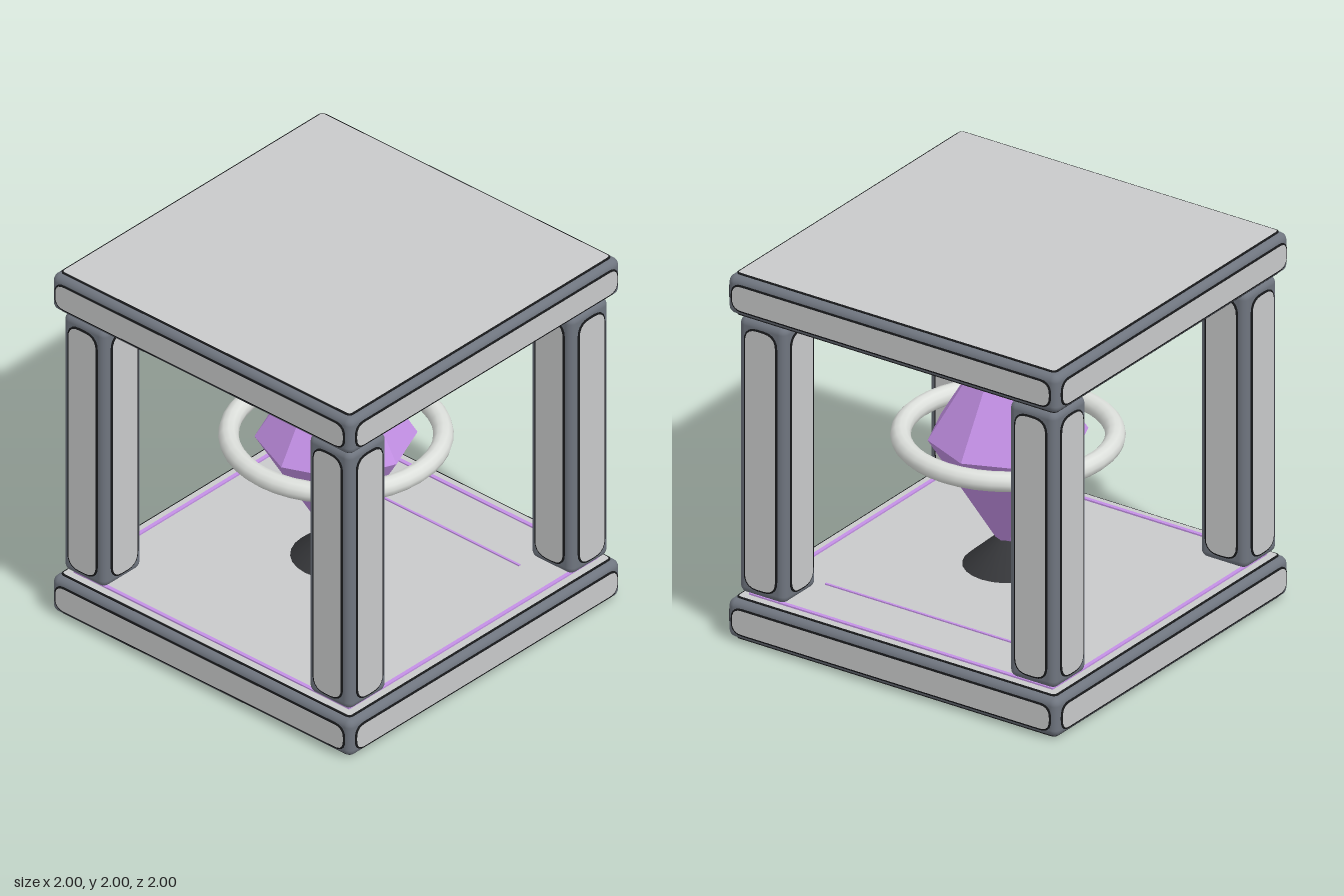
import * as THREE from 'three';
import { RoundedBoxGeometry } from 'three/addons/geometries/RoundedBoxGeometry.js';

function material(name, color, flatShading = false) {
  const m = new THREE.MeshStandardMaterial({ color, flatShading });
  m.name = name;
  return m;
}

export function createModel() {
  const slate = material('slate', 0x6f757f);
  const panelGrey = material('panelGrey', 0xc8c9ca);
  const trimBlack = material('trimBlack', 0x17181a);
  const purple = material('purple', 0xc490e6, true);
  const ringWhite = material('ringWhite', 0xdde0dc);
  const charcoal = material('charcoal', 0x343538);

  const model = new THREE.Group();
  model.name = 'crystalCage';

  function add(parent, name, geometry, mat, x = 0, y = 0, z = 0) {
    const mesh = new THREE.Mesh(geometry, mat);
    mesh.name = name;
    mesh.position.set(x, y, z);
    parent.add(mesh);
    return mesh;
  }

  // Thin rounded plate facing +z, grey face with a black bevelled rim
  function plateGeometry(w, h, r) {
    const a = w / 2, b = h / 2;
    const s = new THREE.Shape();
    s.moveTo(-a + r, -b);
    s.lineTo(a - r, -b);
    s.quadraticCurveTo(a, -b, a, -b + r);
    s.lineTo(a, b - r);
    s.quadraticCurveTo(a, b, a - r, b);
    s.lineTo(-a + r, b);
    s.quadraticCurveTo(-a, b, -a, b - r);
    s.lineTo(-a, -b + r);
    s.quadraticCurveTo(-a, -b, -a + r, -b);
    return new THREE.ExtrudeGeometry(s, {
      depth: 0.004, bevelThickness: 0.003, bevelSize: 0.009, bevelSegments: 1, curveSegments: 5,
    });
  }

  // Rounded slate block with a raised plate on each of its six faces
  function panelledBlock(name, w, h, d, margin, radius, x, y, z) {
    const block = new THREE.Group();
    block.name = name;
    block.position.set(x, y, z);
    model.add(block);
    add(block, 'body', new RoundedBoxGeometry(w, h, d, 3, 0.04), slate);
    const faces = [
      ['front', w, h, d, 0, 0], ['back', w, h, d, 0, Math.PI],
      ['left', d, h, w, 0, Math.PI / 2], ['right', d, h, w, 0, -Math.PI / 2],
      ['top', w, d, h, -Math.PI / 2, 0], ['bottom', w, d, h, Math.PI / 2, 0],
    ];
    for (const [side, pw, ph, depth, rx, ry] of faces) {
      const r = rx ? 0.02 : radius;
      const plate = add(block, side + 'Panel',
        plateGeometry(pw - 2 * margin, ph - 2 * margin, r), [panelGrey, trimBlack]);
      plate.rotation.set(rx, ry, 0);
      plate.position.set(0, 0, depth / 2 + 0.003).applyEuler(plate.rotation);
    }
  }

  // Base, roof and four corner pillars
  panelledBlock('base', 1.98, 0.21, 1.98, 0.04, 0.055, 0, 0.115, 0);
  panelledBlock('roof', 1.98, 0.21, 1.98, 0.04, 0.055, 0, 1.885, 0);
  for (const sx of [-1, 1]) {
    for (const sz of [-1, 1]) {
      panelledBlock('pillar', 0.28, 1.51, 0.28, 0.05, 0.07, sx * 0.81, 1.005, sz * 0.81);
    }
  }

  // Purple inlay around the floor, plus one seam on floor and ceiling
  for (const s of [-1, 1]) {
    add(model, 'floorInlay', new THREE.BoxGeometry(1.82, 0.009, 0.02), purple, 0, 0.234, s * 0.9);
    add(model, 'floorInlay', new THREE.BoxGeometry(0.02, 0.009, 1.78), purple, s * 0.9, 0.234, 0);
  }
  add(model, 'floorSeam', new THREE.BoxGeometry(0.012, 0.008, 1.34), purple, 0.6, 0.233, 0);
  add(model, 'ceilingSeam', new THREE.BoxGeometry(0.012, 0.008, 1.34), purple, 0.6, 1.767, 0);

  // Faceted double-cone crystal
  add(model, 'crystalTop', new THREE.CylinderGeometry(0.06, 0.4, 0.56, 8), purple, 0, 1.28, 0);
  add(model, 'crystalBottom', new THREE.CylinderGeometry(0.4, 0.06, 0.56, 8), purple, 0, 0.72, 0);

  // Flared holders at both tips
  add(model, 'upperHolder', new THREE.CylinderGeometry(0.225, 0.06, 0.15, 24), charcoal, 0, 1.635, 0);
  add(model, 'lowerHolder', new THREE.CylinderGeometry(0.06, 0.225, 0.15, 24), charcoal, 0, 0.37, 0);

  // Floating ring
  const ring = add(model, 'ring', new THREE.TorusGeometry(0.527, 0.051, 12, 40), ringWhite, 0, 1, 0);
  ring.rotation.x = Math.PI / 2;

  return model;
}
